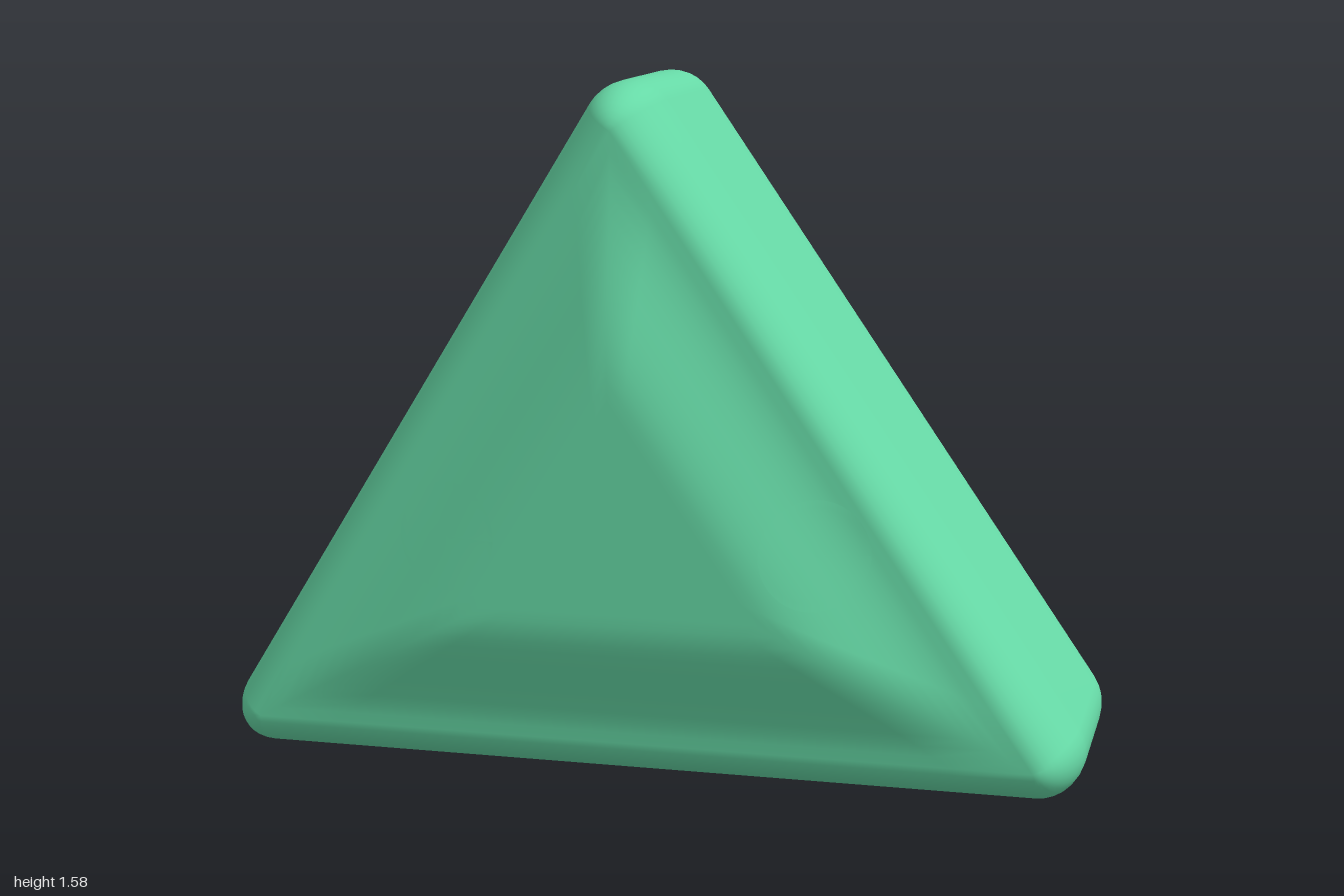
import * as THREE from 'three';
import { mergeVertices } from 'three/addons/utils/BufferGeometryUtils.js';

// Inner triangle (counter-clockwise); the rounded rim is offset from it
const CORNERS = [[-0.9, 0.1], [0.9, 0.1], [-0.05, 1.48]].map(([x, y]) => new THREE.Vector2(x, y));
const RIM = 0.1, RIM_Z = 0.17, FACE_Z = 0.37, BULGE = 0.08, BULGE_WIDTH = 0.3;
const ARC = 10, EDGE = 10;

const EDGES = CORNERS.map((a, k) => {
  const dir = CORNERS[(k + 1) % 3].clone().sub(a);
  const length = dir.length();
  dir.normalize();
  return { a, length, normal: new THREE.Vector2(dir.y, -dir.x) };
});
const perimeter = EDGES.reduce((s, e) => s + e.length, 0);
const CENTER = new THREE.Vector2();
CORNERS.forEach((c, k) => CENTER.addScaledVector(c, EDGES[(k + 1) % 3].length / perimeter));

// Height of the pillowed face at a point
function faceZ(x, y) {
  const d = Math.min(...EDGES.map(({ a, normal }) => (a.x - x) * normal.x + (a.y - y) * normal.y));
  return FACE_Z + BULGE * THREE.MathUtils.smoothstep(d, 0, BULGE_WIDTH);
}

// One closed loop: the triangle scaled about its centre, then offset outward
function loop(scale, offset) {
  const points = [];
  const arcs = CORNERS.map((c, k) => {
    const n0 = EDGES[(k + 2) % 3].normal, n1 = EDGES[k].normal;
    const start = n0.angle();
    const sweep = (n1.angle() - start + Math.PI * 2) % (Math.PI * 2);
    const base = c.clone().sub(CENTER).multiplyScalar(scale).add(CENTER);
    return Array.from({ length: ARC + 1 }, (_, i) => {
      const t = start + sweep * i / ARC;
      return new THREE.Vector2(base.x + offset * Math.cos(t), base.y + offset * Math.sin(t));
    });
  });
  arcs.forEach((arc, k) => {
    points.push(...arc);
    const next = arcs[(k + 1) % 3][0];
    for (let i = 1; i < EDGE; i++) points.push(arc[ARC].clone().lerp(next, i / EDGE));
  });
  return points;
}

function bodyGeometry() {
  const front = [];
  // Rounded rim
  for (let i = 0; i <= 10; i++) {
    const t = i / 10 * Math.PI / 2;
    const z = RIM_Z + (FACE_Z - RIM_Z) * Math.sin(t);
    front.push(loop(1, RIM * Math.cos(t)).map(p => [p.x, p.y, z]));
  }
  // Pillowed face, closing at the centre
  for (let i = 1; i <= 20; i++) {
    front.push(loop(1 - i / 20, 0).map(p => [p.x, p.y, faceZ(p.x, p.y)]));
  }
  const back = front.map(ring => ring.map(([x, y, z]) => [x, y, -z])).reverse();
  const rings = [...back, ...front];
  const n = rings[0].length, index = [];
  for (let i = 0; i < rings.length - 1; i++) {
    for (let j = 0; j < n; j++) {
      const a = i * n + j, b = i * n + (j + 1) % n;
      index.push(a, b, b + n, a, b + n, a + n);
    }
  }
  let geometry = new THREE.BufferGeometry();
  geometry.setAttribute('position', new THREE.Float32BufferAttribute(rings.flat(2), 3));
  geometry.setIndex(index);
  geometry = mergeVertices(geometry, 1e-5);
  // Drop triangles that collapsed at the corners and centre
  const merged = geometry.index.array, kept = [];
  for (let i = 0; i < merged.length; i += 3) {
    const [a, b, c] = [merged[i], merged[i + 1], merged[i + 2]];
    if (a !== b && b !== c && c !== a) kept.push(a, b, c);
  }
  geometry.setIndex(kept);
  geometry.computeVertexNormals();
  return geometry;
}

// Thin disc that follows the front face
function discGeometry(cx, cy, radius) {
  const geometry = new THREE.RingGeometry(0.001, radius, 40, 8);
  geometry.translate(cx, cy, 0);
  const p = geometry.attributes.position;
  for (let i = 0; i < p.count; i++) p.setZ(i, faceZ(p.getX(i), p.getY(i)) + 0.003);
  geometry.computeVertexNormals();
  return geometry;
}

export function createModel() {
  const group = new THREE.Group();
  group.name = 'triangularPillow';
  const green = new THREE.MeshStandardMaterial({ color: 0x66d9a6 });
  green.name = 'mint green';

  const add = (name, geometry) => {
    const mesh = new THREE.Mesh(geometry, green);
    mesh.name = name;
    group.add(mesh);
  };
  add('body', bodyGeometry());
  add('leftEye', discGeometry(0.42, 0.57, 0.12));
  add('rightEye', discGeometry(-0.42, 0.57, 0.12));
  return group;
}
